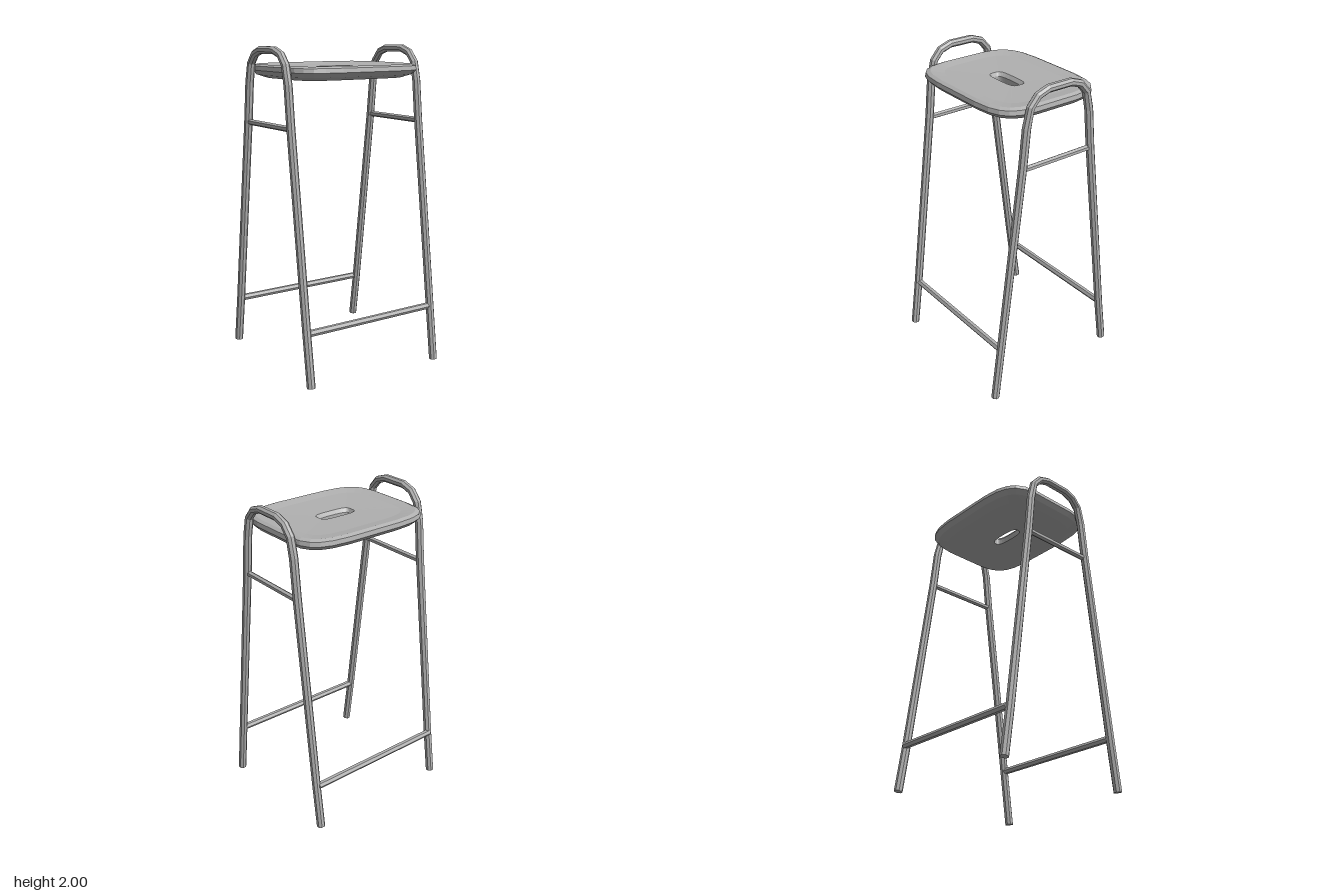
import * as THREE from 'three';

const metal = new THREE.MeshStandardMaterial({ color: 0xb0b0b0, flatShading: true });
metal.name = 'plain grey';

// Skin a list of equal-length rings of [x, y, z] points
function loft(rings, closed = false) {
  const n = rings[0].length;
  const index = [];
  const spans = closed ? rings.length : rings.length - 1;
  for (let v = 0; v < spans; v++) {
    for (let u = 0; u < n; u++) {
      const v2 = (v + 1) % rings.length, u2 = (u + 1) % n;
      const a = v * n + u, b = v2 * n + u, c = v2 * n + u2, d = v * n + u2;
      index.push(a, b, c, a, c, d);
    }
  }
  const geometry = new THREE.BufferGeometry();
  geometry.setAttribute('position', new THREE.Float32BufferAttribute(rings.flat(2), 3));
  geometry.setIndex(index);
  geometry.computeVertexNormals();
  return geometry;
}

function add(parent, name, geometry) {
  const mesh = new THREE.Mesh(geometry, metal);
  mesh.name = name;
  parent.add(mesh);
  return mesh;
}

// Rounded-rectangle ring lying at height y
function seatRing(halfX, halfZ, y, power) {
  const power2 = (c) => Math.sign(c) * Math.abs(c) ** (2 / power);
  return Array.from({ length: 24 }, (_, i) => {
    const a = ((i + 0.5) / 24) * Math.PI * 2;
    return [halfX * power2(Math.cos(a)), y, halfZ * power2(Math.sin(a))];
  });
}

// One bent tube: front leg, arch and back leg in the plane x = const
function sideFrame(x, frontFootY) {
  const half = [[0.405, 0.35], [0.25, 1.55], [0.226, 1.78], [0.2, 1.895], [0.15, 1.952], [0.08, 1.976]];
  const path = [
    [0.45, frontFootY], ...half,
    ...half.map(([z, y]) => [-z, y]).reverse(), [-0.447, 0.06],
  ];
  const rings = path.map(([z, y], i) => {
    const [z0, y0] = path[Math.max(i - 1, 0)];
    const [z1, y1] = path[Math.min(i + 1, path.length - 1)];
    const length = Math.hypot(z1 - z0, y1 - y0);
    const tz = (z1 - z0) / length, ty = (y1 - y0) / length;
    const r = y > 1.85 ? 0.024 : 0.027;
    return Array.from({ length: 8 }, (_, k) => {
      const a = ((k + 0.5) / 8) * Math.PI * 2;
      const s = Math.sin(a) * r;
      return [x + Math.cos(a) * 0.026, Math.max(0, y - tz * s), z + ty * s];
    });
  });
  // Close both feet
  const cap = ([z, y]) => Array.from({ length: 8 }, () => [x, y, z]);
  return loft([cap(path[0]), ...rings, cap(path[path.length - 1])]);
}

export function createModel() {
  const model = new THREE.Group();
  model.name = 'stool';

  // Seat slab with a raised soft rim and a hand slot
  add(model, 'seat', loft([
    seatRing(0.112, 0.036, 1.81, 3),
    seatRing(0.38, 0.29, 1.805, 4.5),
    seatRing(0.435, 0.345, 1.825, 4.5),
    seatRing(0.457, 0.37, 1.852, 4.5),
    seatRing(0.452, 0.365, 1.878, 4.5),
    seatRing(0.43, 0.342, 1.888, 4.5),
    seatRing(0.36, 0.27, 1.878, 4.5),
    seatRing(0.125, 0.052, 1.872, 4),
    seatRing(0.114, 0.036, 1.85, 3),
  ], true));

  for (const side of [-1, 1]) {
    const name = side > 0 ? 'left' : 'right';
    add(model, name + 'Frame', sideFrame(side * 0.47, side > 0 ? 0 : 0.03));

    // Short rail under the seat, between the legs
    const rail = add(model, name + 'SideRail', new THREE.CylinderGeometry(0.018, 0.018, 0.49, 6));
    rail.rotation.x = Math.PI / 2;
    rail.position.set(side * 0.468, 1.535, 0);
  }

  // Long foot rails at front and back
  for (const [name, z] of [['frontFootRail', 0.403], ['backFootRail', -0.42]]) {
    const rail = add(model, name, new THREE.CylinderGeometry(0.021, 0.021, 0.93, 6));
    rail.rotation.z = Math.PI / 2;
    rail.position.set(0, 0.35, z);
  }
  return model;
}
